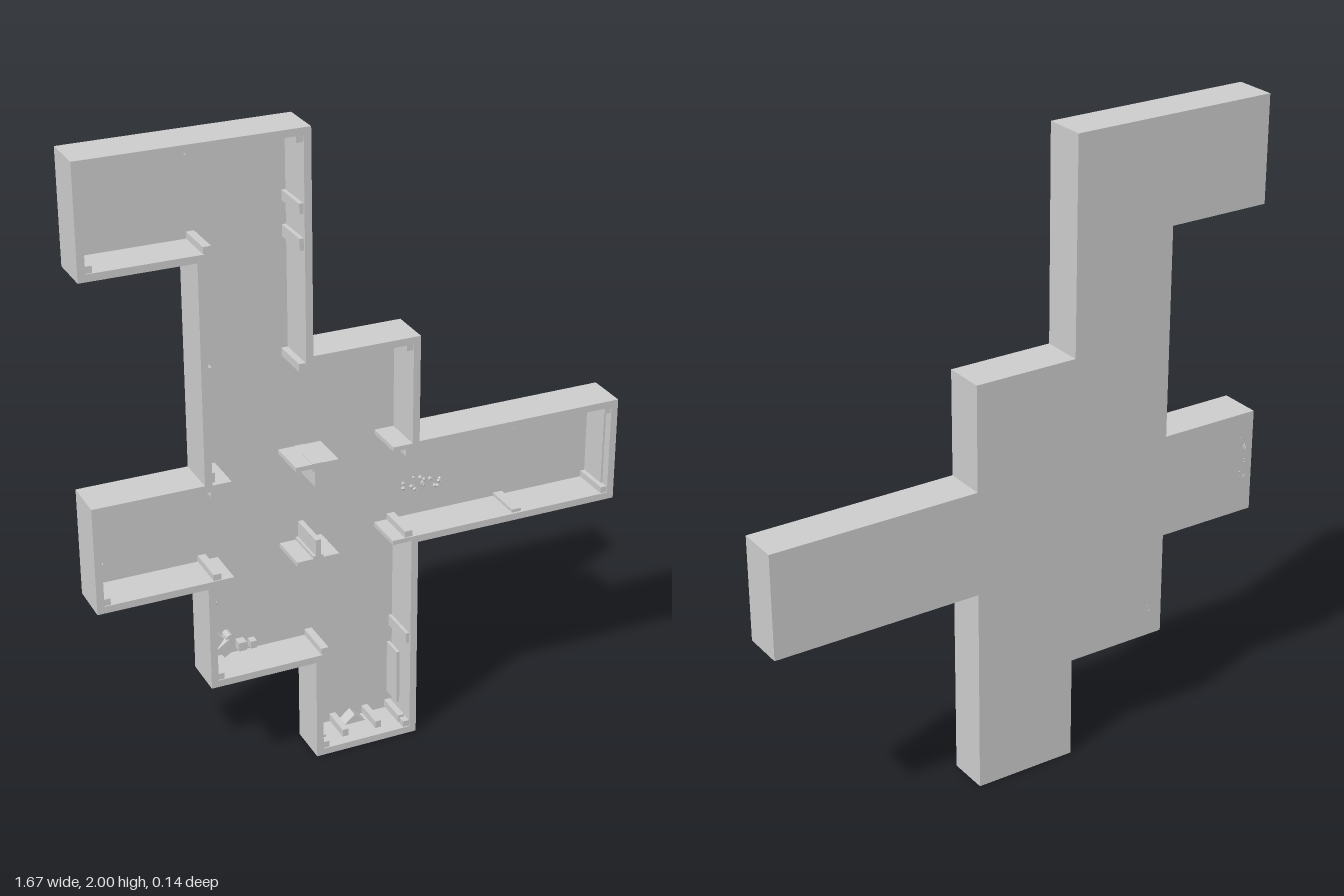
import * as THREE from 'three';

const T = 1 / 3, BACK = -0.067, FRONT = 0.067, FLOOR = -0.062, WALL = 0.022;
const mat = new THREE.MeshStandardMaterial({ color: 0xcccccc, flatShading: true, side: THREE.DoubleSide });

// Outline on a tile grid, clockwise: [column, row] with one tile = 1/3 unit
const outline = [
  [-2.5, 6], [-0.5, 6], [-0.5, 4], [0.5, 4], [0.5, 3], [2.5, 3], [2.5, 2], [0.5, 2], [0.5, 0],
  [-0.5, 0], [-0.5, 1], [-1.5, 1], [-1.5, 2], [-2.5, 2], [-2.5, 3], [-1.5, 3], [-1.5, 5], [-2.5, 5],
].map(([x, y]) => new THREE.Vector2(x * T, y * T));

// Move every corner inwards by d
function inset(d) {
  const n = outline.length;
  return outline.map((p, i) => {
    const a = p.clone().sub(outline[(i + n - 1) % n]).normalize();
    const b = outline[(i + 1) % n].clone().sub(p).normalize();
    return new THREE.Vector2(p.x + (a.y + b.y) * d, p.y - (a.x + b.x) * d);
  });
}

function add(parent, name, geometry, x = 0, y = 0, z = 0, turn = 0) {
  const m = new THREE.Mesh(geometry, mat);
  m.name = name;
  m.position.set(x, y, z);
  m.rotation.z = turn;
  parent.add(m);
  return m;
}

// Box standing on the floor, h = height towards +z
function block(parent, name, x, y, w, d, h = FRONT - FLOOR, turn = 0) {
  return add(parent, name, new THREE.BoxGeometry(w, d, h), x, y, FLOOR + h / 2, turn);
}

function extrude(shape, depth) {
  return new THREE.ExtrudeGeometry(shape, { depth, bevelEnabled: false, curveSegments: 8 });
}

export function createModel() {
  const root = new THREE.Group();
  root.name = 'roomComplex';
  let seed = 7;
  const rnd = () => (seed = (seed * 16807) % 2147483647) / 2147483647;

  // Floor slab and surrounding walls
  add(root, 'floor', extrude(new THREE.Shape(outline), FLOOR - BACK), 0, 0, BACK);
  const ring = new THREE.Shape(outline);
  ring.holes.push(new THREE.Path(inset(WALL)));
  add(root, 'outerWalls', extrude(ring, FRONT - FLOOR), 0, 0, FLOOR);

  // Square posts in the corners
  const posts = new THREE.Group();
  posts.name = 'cornerPosts';
  inset(WALL + 0.008).forEach((p) => block(posts, 'cornerPost', p.x, p.y, 0.024, 0.024, 0.125));
  root.add(posts);

  // Stub walls and T-shaped piers around the central crossing
  const piers = new THREE.Group();
  piers.name = 'crossingPiers';
  for (const [y, s] of [[0.99, -1], [0.682, 1]]) {
    block(piers, 'stubWall', -0.455, y, 0.07, 0.014);
    block(piers, 'stubWall', 0.123, y, 0.08, 0.014);
    block(piers, 'pierArm', -0.157, y, 0.134, 0.014);
    block(piers, 'pierCore', -0.157, y + s * 0.004, 0.032, 0.024);
    block(piers, 'pierStem', -0.157, y + s * 0.034, 0.016, 0.066);
  }
  root.add(piers);

  // Flat pilasters on the walls: [x, y, width, depth]
  const pilasters = new THREE.Group();
  pilasters.name = 'pilasters';
  for (const [x, y, w, d] of [
    [-0.505, 1.973, 0.03, 0.012], [-0.195, 1.77, 0.012, 0.03], [-0.195, 1.667, 0.012, 0.035],
    [-0.473, 1.337, 0.012, 0.035], [0.5, 0.974, 0.03, 0.01], [0.5, 0.694, 0.03, 0.01],
    [-0.473, 1.017, 0.012, 0.03], [0.138, 0.337, 0.01, 0.035], [-0.01, 1.309, 0.03, 0.006],
  ]) block(pilasters, 'pilaster', x, y, w, d, 0.122);
  root.add(pilasters);

  // Blind arches in low relief along the long corridor and end walls
  const archShape = new THREE.Shape();
  archShape.moveTo(-0.045, 0).lineTo(-0.045, 0.05);
  archShape.absarc(0, 0.05, 0.045, Math.PI, 0, true);
  archShape.lineTo(0.045, 0);
  const opening = new THREE.Path();
  opening.moveTo(-0.033, 0.004).lineTo(-0.033, 0.05);
  opening.absarc(0, 0.05, 0.033, Math.PI, 0, true);
  opening.lineTo(0.033, 0.004);
  archShape.holes.push(opening);
  const archGeo = extrude(archShape, 0.005);
  const arches = new THREE.Group();
  arches.name = 'wallArches';
  for (const [x, y] of [
    [-0.478, 1.1], [-0.478, 1.22], [-0.478, 1.43], [-0.478, 1.55], [-0.811, 1.84],
    [-0.811, 0.83], [-0.145, 0.17],
  ]) add(arches, 'wallArch', archGeo, x, y, FLOOR).rotation.set(Math.PI / 2, Math.PI / 2, 0);
  root.add(arches);

  // Thin panels lying against the walls
  block(root, 'sidePanel', 0.133, 0.17, 0.01, 0.18, 0.07);
  block(root, 'endPanel', 0.808, 0.835, 0.006, 0.25, 0.1);
  block(root, 'farPanel', -0.67, 1.975, 0.08, 0.006, 0.1);

  // Row of columns and a pointed niche at the entrance wall
  const entrance = new THREE.Group();
  entrance.name = 'entrance';
  for (const x of [-0.135, -0.058, 0.052, 0.13]) block(entrance, 'entranceColumn', x, 0.038, 0.02, 0.024, 0.1);
  const niche = new THREE.Shape([[-0.035, 0.022], [0.035, 0.022], [0, 0.052]].map((p) => new THREE.Vector2(...p)));
  add(entrance, 'pointedNiche', extrude(niche, 0.04), 0, 0, FLOOR);
  root.add(entrance);

  // Crates: [x, y, width, depth, height, turn]
  const clutter = new THREE.Group();
  clutter.name = 'storedGoods';
  for (const [x, y, w, d, h, t] of [
    [-0.467, 0.372, 0.022, 0.022, 0.04, 0], [-0.36, 0.385, 0.025, 0.028, 0.03, 0],
    [-0.323, 0.38, 0.02, 0.024, 0.025, 0], [-0.415, 0.398, 0.045, 0.04, 0.04, 0.6],
    [-0.445, 0.428, 0.035, 0.035, 0.035, 0.9], [-0.455, 0.488, 0.032, 0.052, 0.03, 0.15],
    [-0.786, 0.745, 0.03, 0.032, 0.03, 0.3], [-0.795, 0.785, 0.026, 0.03, 0.025, -0.2],
  ]) block(clutter, 'crate', x, y, w, d, h, t);
  // Barrels stand upright on the floor
  for (const [x, y, r] of [[-0.463, 0.53, 0.012], [-0.402, 0.427, 0.012], [-0.468, 0.562, 0.01], [-0.135, 0.175, 0.009]]) {
    const g = new THREE.CylinderGeometry(r, r, 0.035, 10).rotateX(Math.PI / 2);
    add(clutter, 'barrel', g, x, y, FLOOR + 0.0175);
  }
  root.add(clutter);

  // Scattered stones: [centre x, centre y, spread x, spread y, count, size]
  const rubble = new THREE.Group();
  rubble.name = 'rubble';
  for (const [cx, cy, sx, sy, n, size] of [
    [0.24, 0.79, 0.14, 0.05, 18, 0.006], [-0.8, 0.86, 0.025, 0.15, 16, 0.01], [-0.45, 0.46, 0.04, 0.16, 6, 0.008],
  ]) {
    for (let i = 0; i < n; i++) {
      const r = size * (0.6 + rnd() * 0.6);
      add(rubble, 'stone', new THREE.DodecahedronGeometry(r), cx + (rnd() - 0.5) * sx, cy + (rnd() - 0.5) * sy, FLOOR + r * 0.3, rnd() * 3);
    }
  }
  root.add(rubble);
  return root;
}
